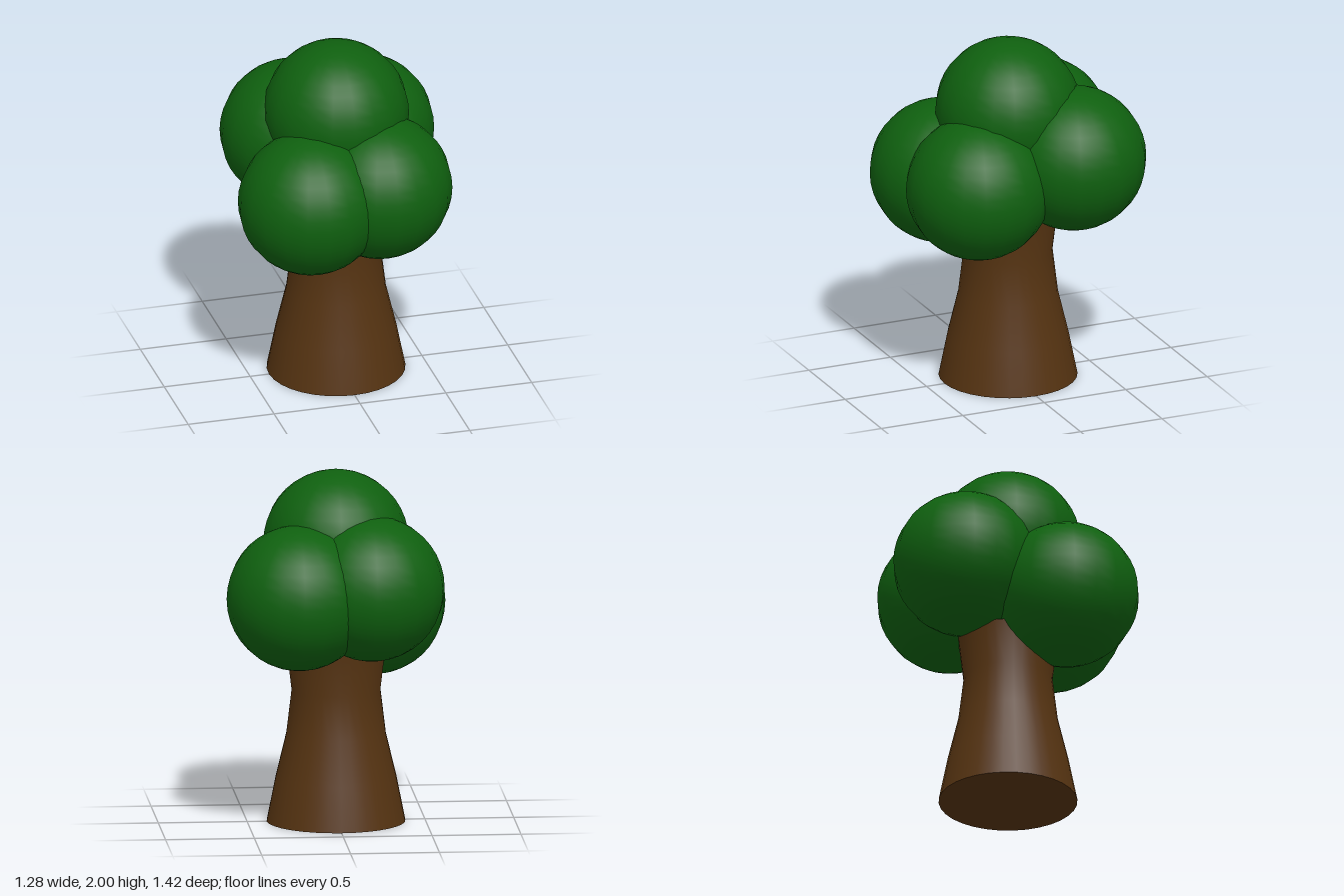
import * as THREE from 'three';

export function createModel() {
  const tree = new THREE.Group();
  tree.name = 'tree';
  const bark = new THREE.MeshStandardMaterial({ color: 0x553311 });
  const leaves = new THREE.MeshStandardMaterial({ color: 0x0f600f });

  const add = (name, geometry, material, position = [0, 0, 0]) => {
    const mesh = new THREE.Mesh(geometry, material);
    mesh.name = name;
    mesh.position.set(...position);
    tree.add(mesh);
    return mesh;
  };

  // Trunk: flared at the foot, waisted, widening again into the crown
  const profile = [[0.39, 0], [0.34, 0.25], [0.28, 0.5], [0.25, 0.75], [0.28, 1]]
    .map(([r, y]) => new THREE.Vector2(r, y));
  add('trunk', new THREE.LatheGeometry(profile, 32), bark);

  // Flat caps closing both ends of the trunk
  add('trunkBase', new THREE.CircleGeometry(0.39, 32), bark).rotation.x = Math.PI / 2;
  add('trunkTop', new THREE.CircleGeometry(0.28, 32), bark, [0, 1, 0]).rotation.x = -Math.PI / 2;

  // Crown: five equal balls of foliage
  const ball = new THREE.SphereGeometry(0.41, 20, 20);
  const crown = {
    foliageTop: [0, 1.59, 0],
    foliageFrontRight: [-0.23, 1.19, 0.3],
    foliageFrontLeft: [0.18, 1.22, 0.26],
    foliageBackLeft: [0.23, 1.33, -0.3],
    foliageBackRight: [-0.18, 1.37, -0.26],
  };
  for (const [name, position] of Object.entries(crown)) add(name, ball, leaves, position);

  return tree;
}
